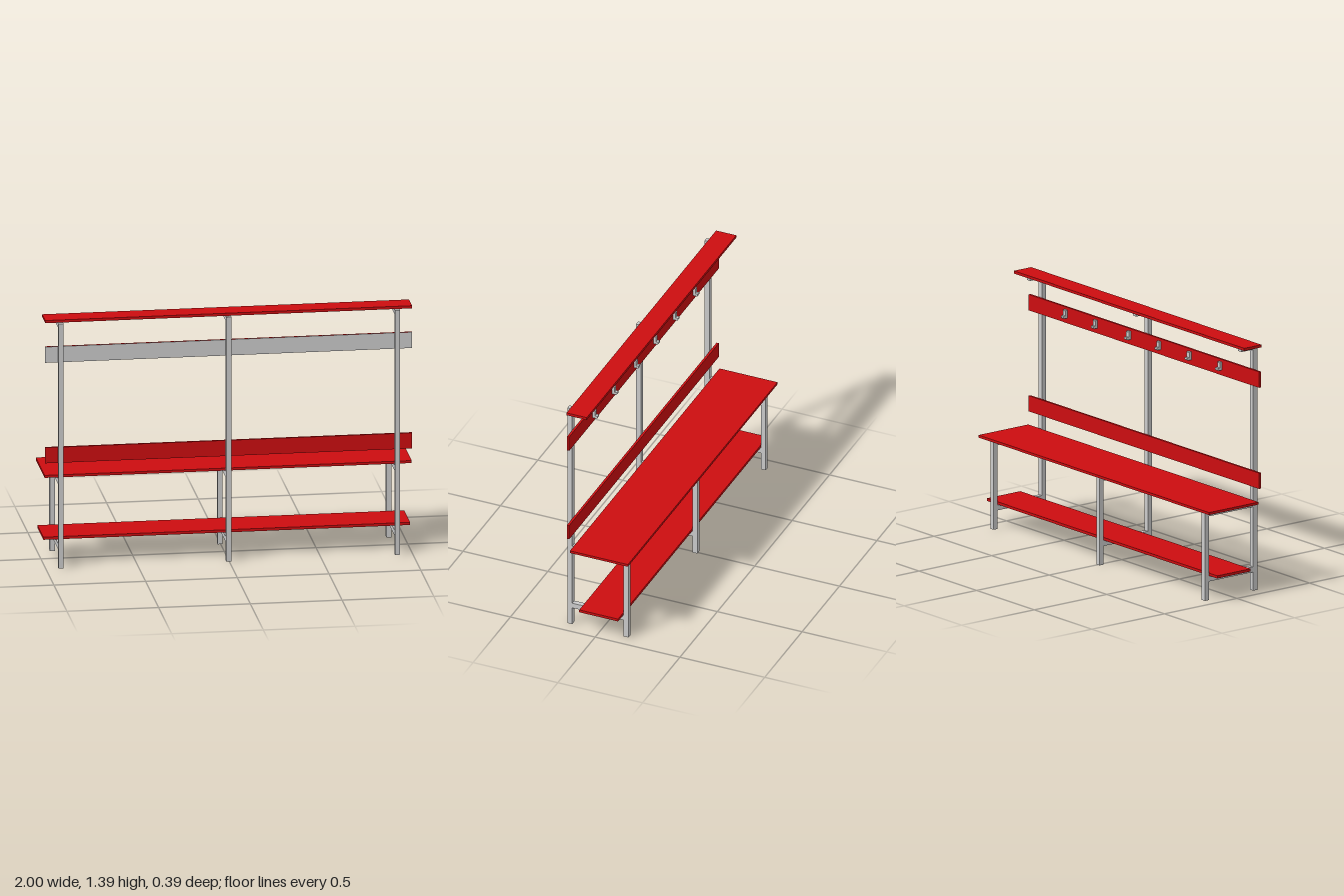
import * as THREE from 'three';

const steel = new THREE.MeshStandardMaterial({ color: 0xcccccc });
const red = new THREE.MeshStandardMaterial({ color: 0xcc0d10 });

// Box given by its extents along each axis
function slab(name, material, [x0, x1], [y0, y1], [z0, z1]) {
  const mesh = new THREE.Mesh(new THREE.BoxGeometry(x1 - x0, y1 - y0, z1 - z0), material);
  mesh.position.set((x0 + x1) / 2, (y0 + y1) / 2, (z0 + z1) / 2);
  mesh.name = name;
  return mesh;
}

// One support frame: tall post, short leg, two rails and a shelf arm
function createFrame(x) {
  const frame = new THREE.Group();
  frame.name = 'supportFrame';
  const w = [x - 0.014, x + 0.014];
  frame.add(
    slab('tallPost', steel, w, [0, 1.377], [0.166, 0.195]),
    slab('shortLeg', steel, w, [0, 0.499], [-0.166, -0.138]),
    slab('seatRail', steel, w, [0.469, 0.499], [-0.138, 0.166]),
    slab('lowerRail', steel, w, [0.104, 0.134], [-0.138, 0.166]),
    slab('shelfArm', steel, w, [1.35, 1.377], [0.085, 0.166])
  );
  return frame;
}

// L-shaped coat hook, profile drawn as (distance from board, height)
function createHookGeometry() {
  const width = 0.022;
  const profile = new THREE.Shape([
    [0, 0], [0.024, 0], [0.028, 0.004], [0.028, 0.015], [0.014, 0.015],
    [0.014, 0.042], [0.01, 0.046], [0, 0.046],
  ].map(([d, h]) => new THREE.Vector2(d, h)));
  const geometry = new THREE.ExtrudeGeometry(profile, { depth: width, bevelEnabled: false });
  geometry.translate(0, 0, -width / 2);
  geometry.rotateY(Math.PI / 2); // point the foot toward -z
  return geometry;
}

export function createModel() {
  const model = new THREE.Group();
  model.name = 'cloakroomBench';
  const full = [-1, 1];

  for (const x of [-0.917, -0.003, 0.917]) model.add(createFrame(x));

  // Boards
  model.add(
    slab('topShelf', red, full, [1.377, 1.392], [0.05, 0.169]),
    slab('backrest', red, full, [0.587, 0.675], [0.153, 0.166]),
    slab('seat', red, full, [0.5, 0.514], [-0.193, 0.149]),
    slab('shoeShelf', red, full, [0.135, 0.15], [-0.135, 0.094]),
    slab('hookBoard', red, full, [1.153, 1.242], [0.153, 0.165]),
    slab('hookBoardBacking', steel, full, [1.153, 1.242], [0.165, 0.166])
  );

  // Coat hooks
  const hookGeometry = createHookGeometry();
  for (const x of [-0.665, -0.4, -0.137, 0.125, 0.415, 0.675]) {
    const hook = new THREE.Mesh(hookGeometry, steel);
    hook.name = 'coatHook';
    hook.position.set(x, 1.182, 0.153);
    model.add(hook);
  }
  return model;
}
